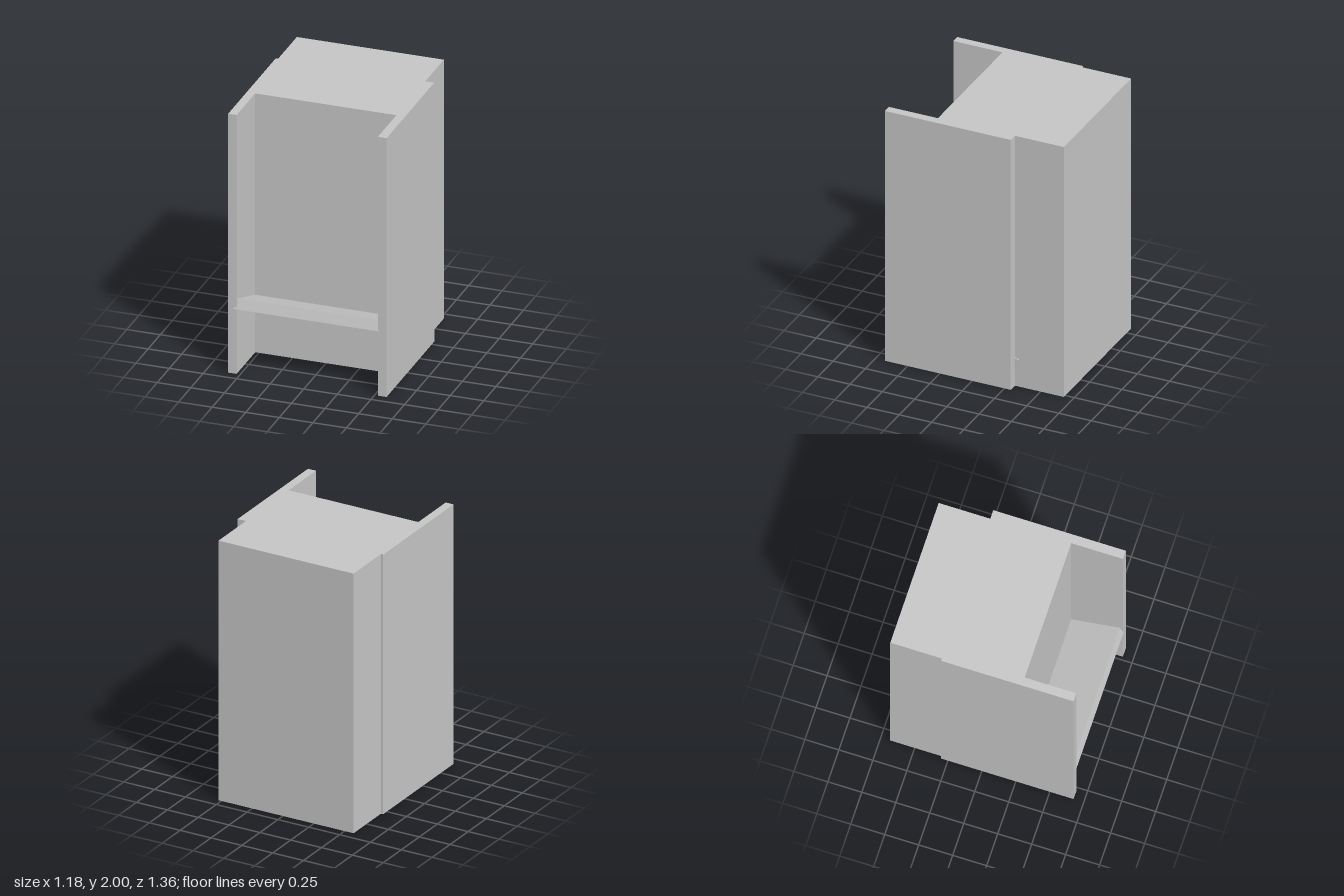
import * as THREE from 'three';

export function createModel() {
  const group = new THREE.Group();
  const grey = new THREE.MeshStandardMaterial({ color: 0xc6c6c6 });
  grey.name = 'plain grey';

  const add = (name, points, depth) => {
    const shape = new THREE.Shape(points.map(([a, b]) => new THREE.Vector2(a, b)));
    const geometry = new THREE.ExtrudeGeometry(shape, { depth, bevelEnabled: false });
    const mesh = new THREE.Mesh(geometry, grey);
    mesh.name = name;
    group.add(mesh);
    return geometry;
  };

  // Cabinet: floor plan (x, -z) with a narrower back and a front recess, raised to full height
  add('cabinetBody', [
    [-0.59, -0.675], [-0.527, -0.675], [-0.527, -0.295], [0.525, -0.295],
    [0.525, -0.675], [0.59, -0.675], [0.59, 0.3], [0.523, 0.3],
    [0.523, 0.68], [-0.572, 0.68], [-0.572, 0.3], [-0.59, 0.3],
  ], 2).rotateX(-Math.PI / 2);

  // Tilted shelf: side profile (-z, y) running back through the body, its rear corner just showing
  add('tiltedShelf', [
    [-0.68, 0.5], [0.308, 0.14], [0.335, 0.215], [-0.652, 0.574],
  ], 1.08).rotateY(Math.PI / 2).translate(-0.55, 0, 0);

  return group;
}
